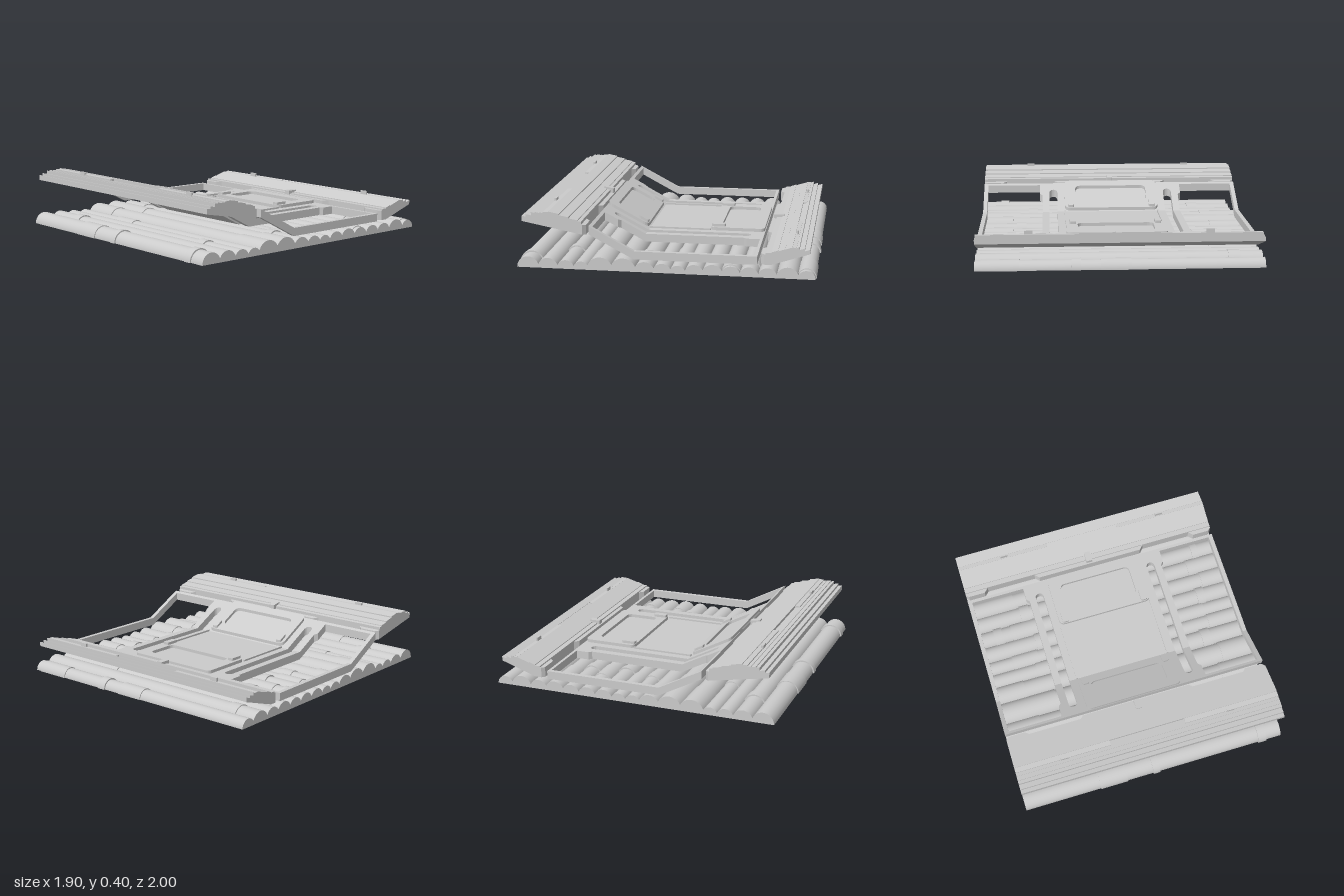
import * as THREE from 'three';

const mat = new THREE.MeshStandardMaterial({ color: 0xcccccc, side: THREE.DoubleSide });

// Height of the deck above its flat middle: front ramp, then tilted front panel
const lift = z => z > 0.51 ? 0.15 + (z - 0.52) * 0.19 : Math.max(0, z - 0.2) * 0.53;

function add(parent, name, geo) {
  const m = new THREE.Mesh(geo, mat);
  m.name = name;
  parent.add(m);
}

// Plan outline (x, z) raised by h from height y, following the deck slope
function plate(shape, y, h) {
  const g = new THREE.ExtrudeGeometry(shape, { depth: h, bevelEnabled: false, curveSegments: 5 });
  g.rotateX(Math.PI / 2).translate(0, y + h, 0);
  const p = g.attributes.position;
  for (let i = 0; i < p.count; i++) p.setY(i, p.getY(i) + lift(p.getZ(i)));
  g.computeVertexNormals();
  return g;
}

// Cross-section (z, y) swept along x
function bar(section, x0, x1) {
  const s = new THREE.Shape(section.map(([z, y]) => new THREE.Vector2(-z, y)));
  const g = new THREE.ExtrudeGeometry(s, { depth: x1 - x0, bevelEnabled: false });
  return g.rotateY(Math.PI / 2).translate(x0, 0, 0);
}

function box(x, y, z, w, h, d) {
  return new THREE.BoxGeometry(w, h, d).translate(x, y, z);
}

const mirrored = half => new THREE.Shape([...half, ...half.map(([x, z]) => [-x, z]).reverse()]
  .map(([x, z]) => new THREE.Vector2(x, z)));

function rounded(x0, x1, z0, z1, r, Type = THREE.Shape) {
  const s = new Type();
  s.moveTo(x0 + r, z0).lineTo(x1 - r, z0).quadraticCurveTo(x1, z0, x1, z0 + r);
  s.lineTo(x1, z1 - r).quadraticCurveTo(x1, z1, x1 - r, z1);
  s.lineTo(x0 + r, z1).quadraticCurveTo(x0, z1, x0, z1 - r);
  s.lineTo(x0, z0 + r).quadraticCurveTo(x0, z0, x0 + r, z0);
  return s;
}

// Half-round shell along x, open underneath
function halfPipe(parent, name, x0, x1, z, r) {
  const g = new THREE.CylinderGeometry(r, r, x1 - x0, 14, 1, false, 0, Math.PI);
  add(parent, name, g.rotateZ(Math.PI / 2).translate((x0 + x1) / 2, 0, z));
}

// Half of the deck on one side of the bend, with windows and rounded slots
function deckShape(end, win, step, slot) {
  const d = Math.sign(end), b = 0.2, arc = [];
  for (let i = 0; i <= 8; i++) {
    const t = Math.PI * i / 8;
    arc.push([0.43 - 0.03 * Math.cos(t), slot - d * 0.03 + d * 0.03 * Math.sin(t)]);
  }
  return mirrored([[0.4, b], ...arc, [0.46, b], [0.51, b], [0.51, step], [0.53, step + d * 0.02],
    [0.53, win], [0.92, win], [0.92, b], [0.95, b], [0.95, end]]);
}

// Stepped panel: floor points (z, y), then terraces [distance from hinge, height above floor]
function panelSection(floor, hinge, length, floorY, terraces) {
  const pts = [...floor], dir = Math.sign(hinge);
  let last = terraces[0][1];
  for (const [u, h] of terraces) {
    const z = hinge + dir * u * length;
    pts.push([z, floorY(z) + last], [z, floorY(z) + h]);
    last = h;
  }
  return pts;
}

// Lip along the hinge side of a panel, with a shallow notch on each half
const lip = (z, d) => mirrored([[0.39, z], [0.42, z + 0.03 * d], [0.78, z + 0.03 * d], [0.81, z],
  [0.93, z], [0.95, z + 0.02 * d], [0.95, z + 0.065 * d]]);

export function createModel() {
  const model = new THREE.Group();
  model.name = 'panelOverPipes';

  // Pipes side by side from front to back: width, then the ends of each sleeve
  const pipes = [
    [0.14, -0.4, -0.2, -0.01, 0.04, 0.78, 0.84],
    [0.13, -0.7, -0.62], [0.11, 0.55, 0.62], [0.1, -0.5, -0.3],
    [0.155, -0.95, -0.68, 0.68, 0.95],
    [0.155, -0.95, -0.52, 0.73, 0.95],
    [0.13, -0.95, -0.72, 0.63, 0.7],
    [0.105, -0.6, -0.5, 0.72, 0.95],
    [0.1, -0.75, -0.56, 0.5, 0.72],
    [0.12, -0.55, -0.5, 0.7, 0.76],
    [0.12, -0.83, -0.77, -0.7, -0.51, 0.77, 0.95],
    [0.12, -0.6, -0.53, 0.7, 0.92],
    [0.12, -0.95, -0.62, 0.77, 0.82],
    [0.12, 0.4, 0.6], [0.14, -0.8, -0.72],
    [0.105, -0.07, 0.13, 0.26, 0.32, 0.66, 0.91],
  ];
  const rack = new THREE.Group();
  rack.name = 'pipes';
  model.add(rack);
  let edge = 0.986;
  for (const [width, ...ends] of pipes) {
    const z = edge - width / 2, r = width / 2 + 0.005;
    halfPipe(rack, 'pipe', -0.95, 0.95, z, r);
    for (let i = 0; i < ends.length; i += 2) {
      const short = ends[i + 1] - ends[i] < 0.08;
      halfPipe(rack, 'pipeSleeve', ends[i], ends[i + 1], z, r + (short ? 0.009 : 0.006));
    }
    edge -= width;
  }

  // Deck with open side windows and slots
  add(model, 'deckFlat', plate(deckShape(-0.61, -0.59, -0.48, -0.52), 0.085, 0.055));
  add(model, 'deckRamp', plate(deckShape(0.5, 0.48, 0.37, 0.43), 0.085, 0.055));

  // Raised centre plates, each with a recessed rounded window
  for (const [z0, z1, w0, w1] of [[-0.605, -0.23, -0.53, -0.3], [0.21, 0.495, 0.27, 0.44]]) {
    const s = rounded(-0.345, 0.345, z0, z1, 0.04);
    s.holes.push(rounded(-0.265, 0.265, w0, w1, 0.04, THREE.Path));
    add(model, 'centrePlate', plate(s, 0.14, 0.022));
  }

  // Stepped front panel tilted up, and the lower, shorter back panel
  const frontFloor = z => 0.085 + lift(z);
  add(model, 'frontPanel', bar(panelSection([[0.95, frontFloor(0.95)], [0.55, frontFloor(0.55)]],
    0.55, 0.4, frontFloor, [[0, 0.085], [0.06, 0.09], [0.21, 0.097], [0.37, 0.105], [0.55, 0.086],
      [0.7, 0.082], [0.78, 0.075], [0.84, 0.053], [0.93, 0.036], [1, 0.036]]), -0.95, 0.95));
  const backFloor = z => 0.088 + Math.max(0, -0.7 - z) * 0.328;
  add(model, 'backPanel', bar(panelSection([[-0.95, backFloor(-0.95)], [-0.7, 0.088], [-0.665, 0.088]],
    -0.665, 0.285, backFloor, [[0, 0.079], [0.13, 0.084], [0.28, 0.079], [0.44, 0.078],
      [0.6, 0.065], [0.7, 0.067], [0.76, 0.048], [0.88, 0.03], [1, 0.018]]), -0.95, 0.95));
  add(model, 'frontLip', plate(lip(0.522, 1), 0.085, 0.065));
  add(model, 'backLip', plate(lip(-0.635, -1), 0.088, 0.07));

  for (const side of [-1, 1]) {
    // Latches at the inner corners of the centre plates
    for (const [z0, z1] of [[-0.33, -0.235], [0.215, 0.28]]) {
      const x = side * 0.3;
      add(model, 'latch', plate(rounded(x - 0.022, x + 0.022, z0, z1, 0.01), 0.14, 0.04));
    }
    // Low edge rails beside the sunken centre
    add(model, 'centreRail', box(side * 0.343, 0.146, -0.015, 0.012, 0.012, 0.43));
    // Outer ledges either side of the middle notch
    add(model, 'frontLedge', box(side * 0.61, 0.375, 0.785, 0.68, 0.016, 0.04));
    add(model, 'backLedge', box(side * 0.61, 0.2, -0.85, 0.68, 0.02, 0.026));
    // Small upright tabs
    add(model, 'frontTab', box(side * 0.6, 0.385, 0.802, 0.054, 0.03, 0.015));
    add(model, 'backTab', box(side * 0.6, 0.218, -0.85, 0.054, 0.036, 0.012));
  }

  // Central clasps on both panels
  add(model, 'frontClasp', plate(rounded(-0.022, 0.022, 0.525, 0.6, 0.008), 0.13, 0.055));
  add(model, 'backClasp', box(0, 0.172, -0.683, 0.044, 0.03, 0.075));

  return model;
}
